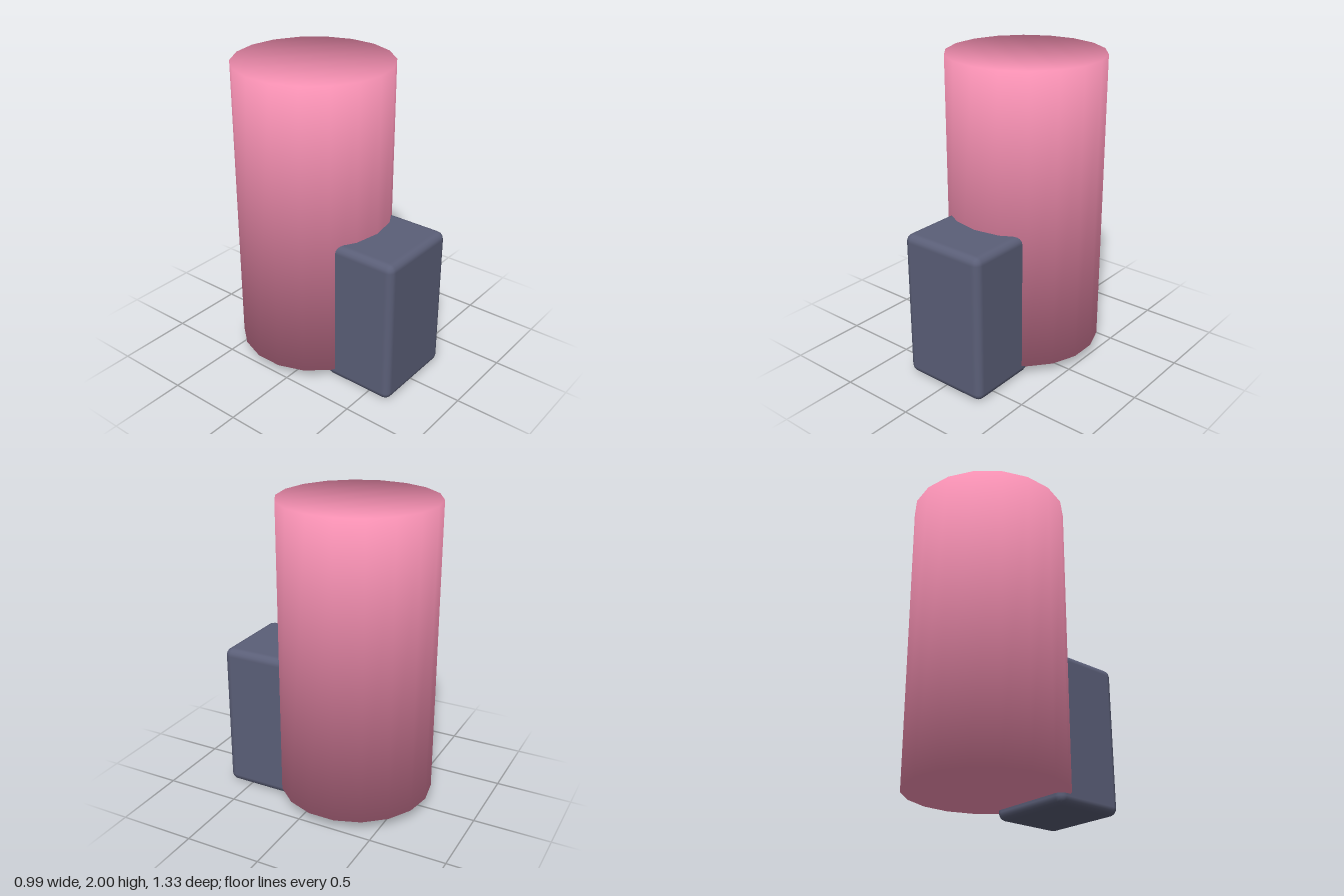
import * as THREE from 'three';
import { RoundedBoxGeometry } from 'three/addons/geometries/RoundedBoxGeometry.js';

const SIDES = 18;

// Closed prism whose normals blend over the rims, with caps made of strips
function softCylinder(radius, bottom, top) {
  const positions = [], normals = [], index = [];
  for (const [y, up] of [[bottom, -0.9], [top, 0.9]]) {
    for (let i = 0; i < SIDES; i++) {
      const a = (i / SIDES) * Math.PI * 2;
      positions.push(radius * Math.sin(a), y, radius * Math.cos(a));
      const n = new THREE.Vector3(Math.sin(a), up, Math.cos(a)).normalize();
      normals.push(n.x, n.y, n.z);
    }
  }
  const wrap = (i) => (i + SIDES) % SIDES;

  // Wall
  for (let i = 0; i < SIDES; i++) {
    const j = wrap(i + 1);
    index.push(i, j, j + SIDES, i, j + SIDES, i + SIDES);
  }

  // Top and bottom caps
  for (let i = -1; i < SIDES / 2 - 2; i++) {
    const [a, b, c, d] = [i, i + 1, 14 - i, 15 - i].map(wrap);
    index.push(a + SIDES, b + SIDES, c + SIDES, a + SIDES, c + SIDES, d + SIDES);
    index.push(a, c, b, a, d, c);
  }

  const geometry = new THREE.BufferGeometry();
  geometry.setAttribute('position', new THREE.Float32BufferAttribute(positions, 3));
  geometry.setAttribute('normal', new THREE.Float32BufferAttribute(normals, 3));
  geometry.setIndex(index);
  return geometry;
}

export function createModel() {
  const model = new THREE.Group();
  model.name = 'cylinderWithBlock';

  // Tall pink column
  const column = new THREE.Mesh(
    softCylinder(0.505, 0.065, 2),
    new THREE.MeshStandardMaterial({ color: 0xf48fb1 })
  );
  column.name = 'column';
  column.position.z = -0.16;
  model.add(column);

  // Rounded block sunk into the front of the column
  const block = new THREE.Mesh(
    new RoundedBoxGeometry(0.595, 0.98, 0.5, 2, 0.05),
    new THREE.MeshStandardMaterial({ color: 0x5b5f78 })
  );
  block.name = 'frontBlock';
  block.position.set(0, 0.49, 0.412);
  model.add(block);

  return model;
}
